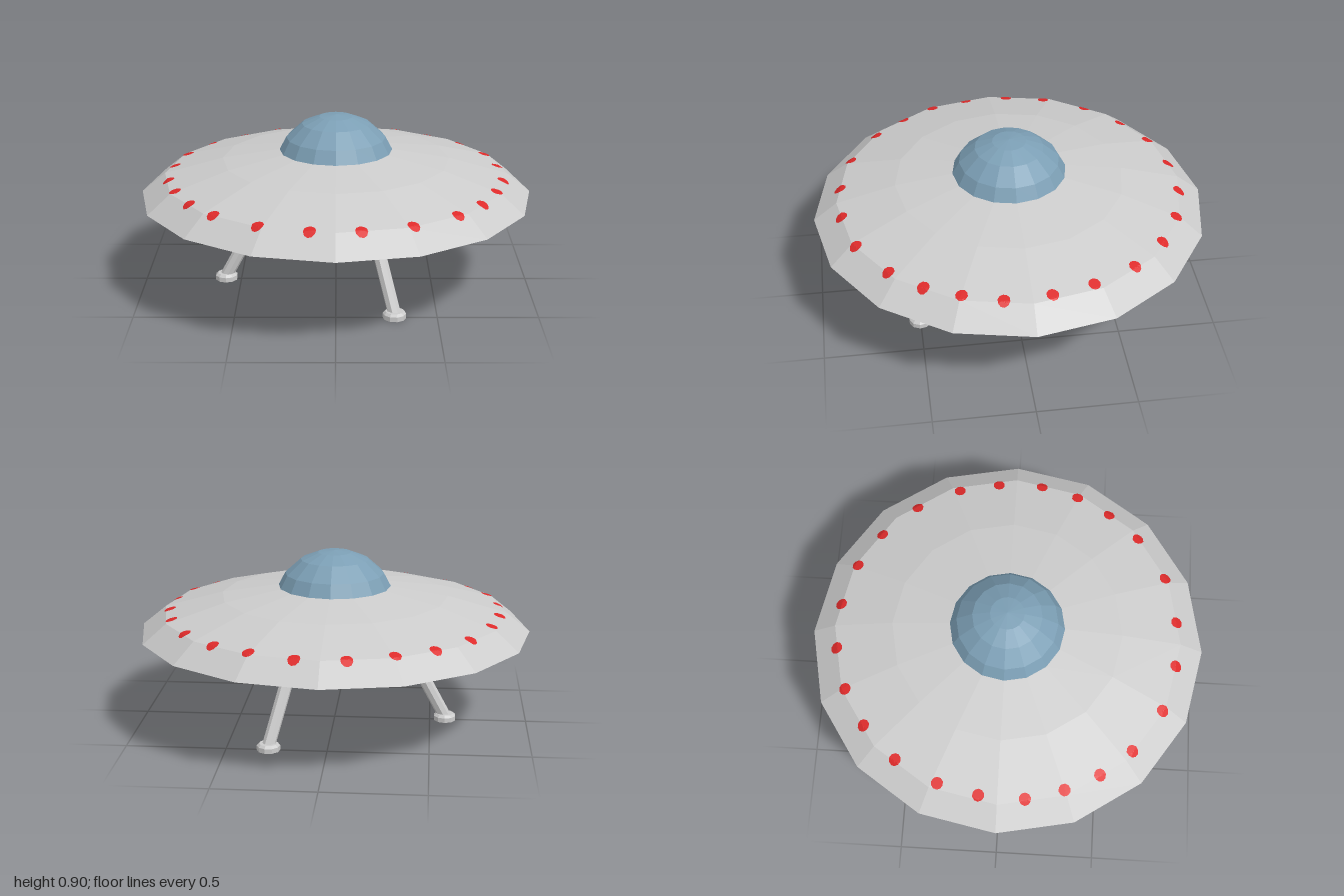
import * as THREE from 'three';

const flat = (name, color) => {
  const m = new THREE.MeshStandardMaterial({ color });
  m.name = name;
  m.flatShading = true;
  return m;
};

const SIDES = 16;
// Upper hull rings as [radius, height], rim first
const UPPER = [[1, 0.49], [0.88, 0.587], [0.58, 0.67], [0.29, 0.716], [0, 0.73]];
const LOWER = [[0, 0.38], [0.36, 0.391], [0.7, 0.436], [1, 0.49]];
const DOME = [[0.29, 0.712], [0.253, 0.782], [0.173, 0.854], [0.085, 0.89], [0, 0.9]];

function lathe(name, profile, sides, material) {
  const points = profile.map(([r, y]) => new THREE.Vector2(r, y));
  const mesh = new THREE.Mesh(new THREE.LatheGeometry(points, sides), material);
  mesh.name = name;
  return mesh;
}

// Height of the faceted upper hull above a point
function hullHeight(x, z) {
  const step = (2 * Math.PI) / SIDES;
  const a = Math.atan2(z, x) + 2 * Math.PI;
  const r = Math.hypot(x, z) * Math.cos((a % step) - step / 2) / Math.cos(step / 2);
  for (let i = 0; i < UPPER.length - 1; i++) {
    const [r0, y0] = UPPER[i], [r1, y1] = UPPER[i + 1];
    if (r >= r1) return y0 + (y1 - y0) * (r0 - r) / (r0 - r1);
  }
  return UPPER[0][1];
}

// Thin round light draped over the hull
function makeLight(x, z, material) {
  const geo = new THREE.RingGeometry(0, 0.03, 10, 4);
  geo.rotateX(-Math.PI / 2);
  const p = geo.attributes.position;
  for (let i = 0; i < p.count; i++) {
    const px = p.getX(i) + x, pz = p.getZ(i) + z;
    p.setXYZ(i, px, hullHeight(px, pz) + 0.004, pz);
  }
  geo.computeVertexNormals();
  const mesh = new THREE.Mesh(geo, material);
  mesh.name = 'rimLight';
  return mesh;
}

// Slanted strut with a bevelled foot, leaning out along +x
function makeLeg(material) {
  const leg = new THREE.Group();
  leg.name = 'landingLeg';
  const foot = new THREE.Vector3(0.578, 0.02, 0);
  const top = new THREE.Vector3(0.355, 0.43, 0);
  const dir = top.clone().sub(foot);
  const strut = new THREE.Mesh(
    new THREE.CylinderGeometry(0.033, 0.033, dir.length(), 8), material);
  strut.name = 'strut';
  strut.position.copy(foot).add(top).multiplyScalar(0.5);
  strut.quaternion.setFromUnitVectors(new THREE.Vector3(0, 1, 0), dir.normalize());
  const pad = lathe('foot', [[0, 0], [0.058, 0], [0.058, 0.024], [0.046, 0.036], [0, 0.036]], 10, material);
  pad.position.x = foot.x;
  leg.add(strut, pad);
  return leg;
}

export function createModel() {
  const model = new THREE.Group();
  model.name = 'saucer';
  const metal = flat('light grey metal', 0xcccccc);
  const glass = flat('blue glass', 0x7c9fb5);
  const red = flat('red light', 0xdd2a2a);

  // Disc and cockpit
  model.add(lathe('hull', [...LOWER, ...UPPER.slice(1)], SIDES, metal));
  model.add(lathe('dome', DOME, SIDES, glass));

  // Ring of lights, mirrored left and right
  const spots = [
    [0.12, -0.86], [0.337, -0.795], [0.52, -0.685], [0.685, -0.513],
    [0.793, -0.297], [0.84, -0.093], [0.845, 0.135], [0.79, 0.325],
    [0.703, 0.495], [0.573, 0.65], [0.357, 0.795], [0.118, 0.858],
  ];
  const lights = new THREE.Group();
  lights.name = 'rimLights';
  for (const [x, z] of spots)
    for (const side of [1, -1]) lights.add(makeLight(side * x, z, red));
  model.add(lights);

  // Three legs, one pointing to -x
  for (let i = 0; i < 3; i++) {
    const leg = makeLeg(metal);
    leg.rotation.y = Math.PI + (i * 2 * Math.PI) / 3;
    model.add(leg);
  }
  return model;
}
